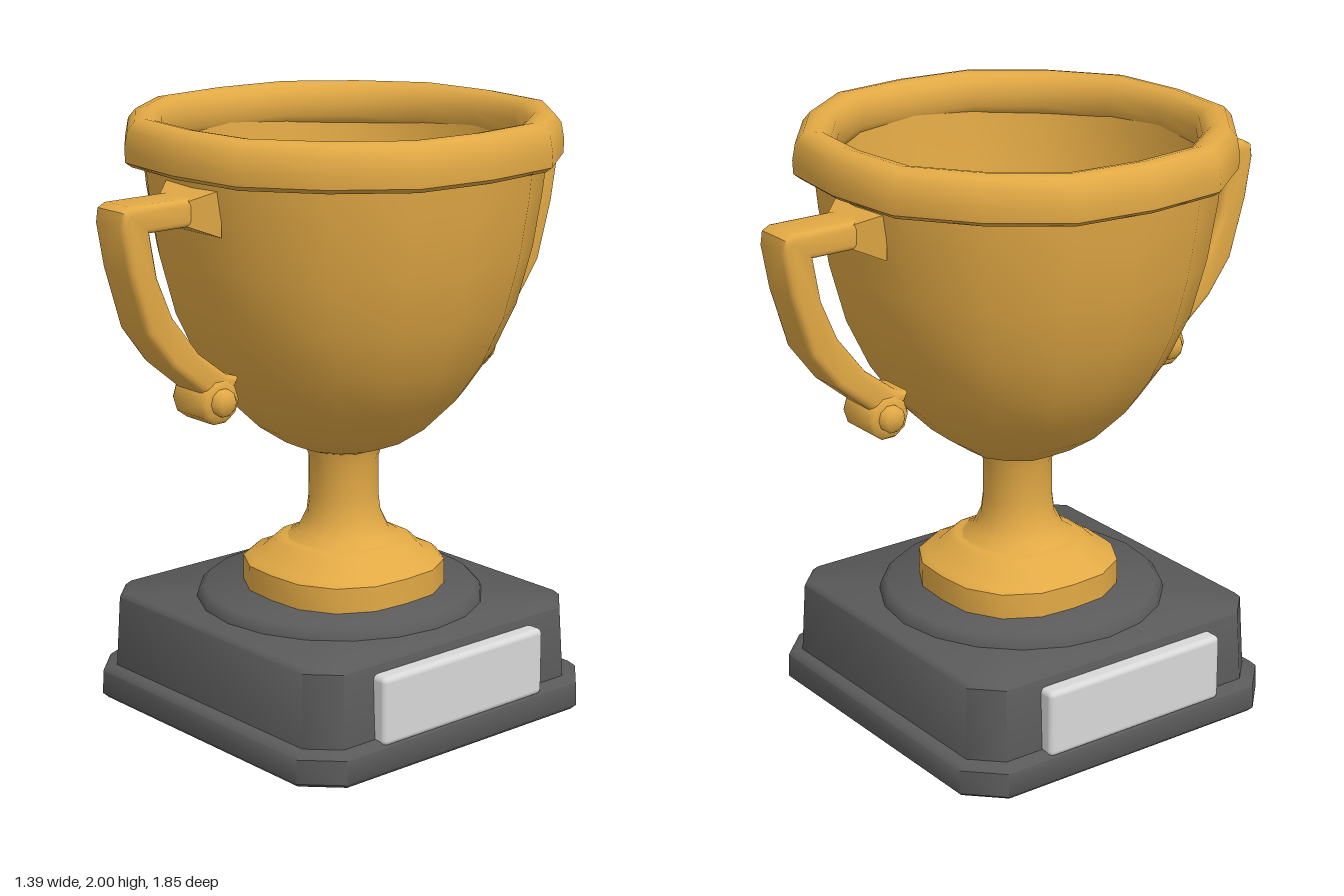
import * as THREE from 'three';
import { toCreasedNormals } from 'three/addons/utils/BufferGeometryUtils.js';
import { RoundedBoxGeometry } from 'three/addons/geometries/RoundedBoxGeometry.js';

const V = (pairs) => pairs.map(([x, y]) => new THREE.Vector2(x, y));

const material = (name, color) => {
  const m = new THREE.MeshStandardMaterial({ color });
  m.name = name;
  return m;
};

// Sixteen-sided lathe, swollen on the diagonals and at the octagon corners between
function facetedLathe(profile, diagonal, corner) {
  const g = new THREE.LatheGeometry(V(profile), 16);
  const p = g.attributes.position;
  for (let i = 0; i < p.count; i++) {
    const a = Math.atan2(p.getX(i), p.getZ(i));
    const s = 1 + diagonal * Math.sin(2 * a) ** 2 + corner * Math.sin(4 * a) ** 2;
    p.setX(i, p.getX(i) * s);
    p.setZ(i, p.getZ(i) * s);
  }
  return toCreasedNormals(g, 0.8);
}

// Square block with cut corners; the profile holds [half width, y]
function cutCornerBlock(profile, k) {
  const corners = [[k, 1], [1, k], [1, -k], [k, -1], [-k, -1], [-1, -k], [-1, k], [-k, 1]];
  const g = new THREE.LatheGeometry(V(profile), 8);
  const p = g.attributes.position;
  for (let i = 0; i < p.count; i++) {
    const [cx, cz] = corners[Math.floor(i / profile.length) % 8];
    const s = profile[i % profile.length][0];
    p.setX(i, s * cx);
    p.setZ(i, s * cz);
  }
  return toCreasedNormals(g, 0.82);
}

export function createModel() {
  const gold = material('gold', 0xe2a945);
  const charcoal = material('charcoal', 0x5a5a5a);
  const silver = material('silver', 0xd8d8d8);

  const model = new THREE.Group();
  model.name = 'trophy';
  const add = (parent, name, geometry, mat) => {
    const mesh = new THREE.Mesh(geometry, mat);
    mesh.name = name;
    parent.add(mesh);
    return mesh;
  };

  // Base: plinth, block, round step and two plaques
  const base = new THREE.Group();
  base.name = 'base';
  base.position.set(-0.008, 0, 0.01);
  model.add(base);
  add(base, 'plinth', cutCornerBlock(
    [[0, 0], [0.605, 0], [0.62, 0.015], [0.618, 0.095], [0.6, 0.112], [0.56, 0.115]], 0.82), charcoal);
  add(base, 'baseBlock', cutCornerBlock(
    [[0.577, 0.1], [0.565, 0.355], [0.55, 0.37], [0, 0.37]], 0.84), charcoal);
  add(base, 'baseStep', toCreasedNormals(new THREE.LatheGeometry(
    V([[0.48, 0.365], [0.475, 0.39], [0.455, 0.41], [0, 0.411]]), 20), 0.9), charcoal);
  for (const side of [1, -1]) {
    const plaque = add(base, side > 0 ? 'leftPlaque' : 'rightPlaque',
      new RoundedBoxGeometry(0.07, 0.23, 0.7, 2, 0.02), silver);
    plaque.position.set(side * 0.587, 0.213, 0.005);
  }

  // Foot and stem
  add(model, 'foot', facetedLathe(
    [[0.312, 0.405], [0.312, 0.495], [0.295, 0.51], [0.25, 0.53], [0.215, 0.565], [0.195, 0.575], [0, 0.577]],
    0.08, 0.01), gold);
  add(model, 'stem', facetedLathe(
    [[0.19, 0.572], [0.15, 0.6], [0.122, 0.66], [0.115, 0.72], [0.115, 0.85], [0.13, 0.9]], 0.01, 0.02), gold);

  // Bowl, outside then inside
  add(model, 'bowl', facetedLathe([
    [0, 0.885], [0.13, 0.888], [0.19, 0.91], [0.275, 0.97], [0.38, 1.08], [0.465, 1.21], [0.535, 1.37],
    [0.582, 1.56], [0.61, 1.75], [0.622, 1.88], [0.575, 1.89], [0.56, 1.75], [0.535, 1.56],
    [0.49, 1.37], [0.42, 1.21], [0.335, 1.08], [0.22, 0.99], [0, 0.95]], 0.05, 0.03), gold);

  // Rolled rim
  add(model, 'rim', facetedLathe([
    [0.585, 1.865], [0.605, 1.852], [0.675, 1.85], [0.694, 1.865], [0.696, 1.91], [0.686, 1.965],
    [0.662, 1.994], [0.632, 2], [0.602, 1.994], [0.578, 1.97], [0.57, 1.93], [0.573, 1.89],
    [0.585, 1.865]], 0.012, 0.03), gold);

  // Handles at front and back, each with a flared mount and a scroll end
  const outline = V([
    [0.6, 1.8], [0.89, 1.8], [0.918, 1.785], [0.925, 1.74], [0.9, 1.6], [0.84, 1.4], [0.75, 1.28],
    [0.63, 1.18], [0.53, 1.12], [0.485, 1.21], [0.53, 1.225], [0.64, 1.31], [0.74, 1.44],
    [0.795, 1.57], [0.82, 1.71], [0.6, 1.71]]);
  const bevel = 0.022, width = 0.155;
  const handleGeometry = toCreasedNormals(new THREE.ExtrudeGeometry(new THREE.Shape(outline), {
    depth: width - 2 * bevel, bevelThickness: bevel, bevelSize: bevel, bevelOffset: -bevel, bevelSegments: 3,
  }).translate(0, 0, bevel - width / 2).rotateY(-Math.PI / 2), 0.8);
  const mountGeometry = toCreasedNormals(new THREE.CylinderGeometry(0.1, 0.19, 0.08, 4, 1, true)
    .rotateY(Math.PI / 4).scale(1, 1, 0.55).rotateX(Math.PI / 2), 0.5);
  const scrollGeometry = toCreasedNormals(new THREE.LatheGeometry(V([
    [0, -0.115], [0.032, -0.115], [0.045, -0.1], [0.045, -0.085], [0.066, -0.082], [0.076, -0.068],
    [0.076, 0.068], [0.066, 0.082], [0.045, 0.085], [0.045, 0.1], [0.032, 0.115], [0, 0.115]]), 10)
    .rotateZ(Math.PI / 2), 0.9);
  for (const [name, turn] of [['frontHandle', 0], ['backHandle', Math.PI]]) {
    const handle = new THREE.Group();
    handle.name = name;
    handle.position.x = -0.012;
    handle.rotation.y = turn;
    add(handle, 'handleArm', handleGeometry, gold);
    add(handle, 'handleMount', mountGeometry, gold).position.set(0, 1.752, 0.64);
    add(handle, 'handleScroll', scrollGeometry, gold).position.set(0, 1.143, 0.565);
    model.add(handle);
  }
  return model;
}
